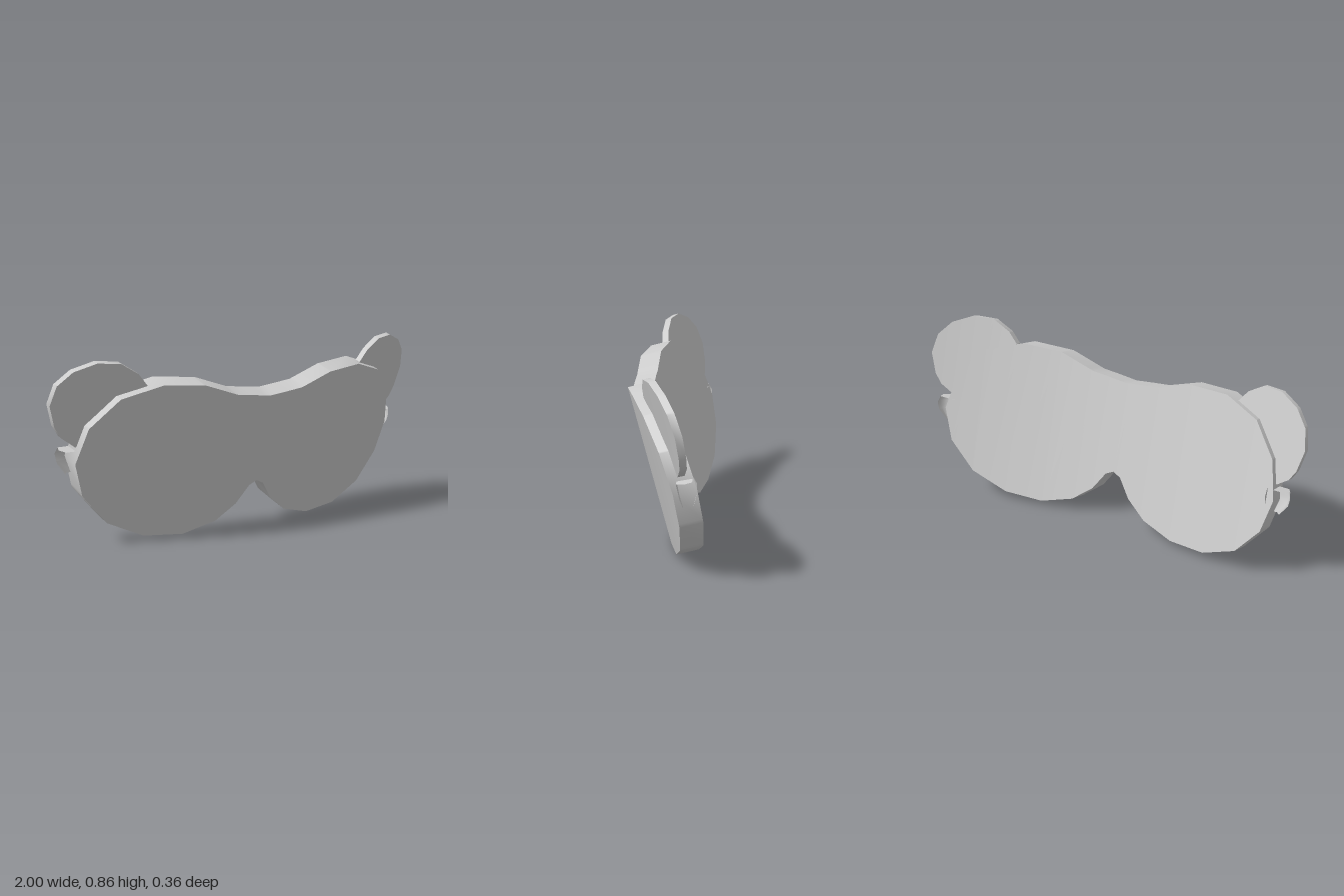
import * as THREE from 'three';
import { toCreasedNormals } from 'three/addons/utils/BufferGeometryUtils.js';

const LEAN = 0.267, BOW = 0.215;

// Height of a polyline [[x, y], ...] at x
function heightAt(line, x) {
  for (let i = 1; i < line.length; i++) {
    const [x0, y0] = line[i - 1], [x1, y1] = line[i];
    if (x <= x1) return y0 + (y1 - y0) * (x - x0) / (x1 - x0);
  }
  return line[line.length - 1][1];
}

// Triangle collector; side -1 mirrors across x = 0 and keeps faces outward
function builder(side) {
  const pos = [];
  const tri = (a, b, c) => {
    const area = new THREE.Vector3().subVectors(b, a).cross(new THREE.Vector3().subVectors(c, a));
    if (area.length() < 1e-9) return;
    for (const p of side > 0 ? [a, b, c] : [a, c, b]) pos.push(p.x * side, p.y, p.z);
  };
  const quad = (a, b, c, d) => { tri(a, b, c); tri(a, c, d); };
  const finish = (crease) => {
    const geo = new THREE.BufferGeometry();
    geo.setAttribute('position', new THREE.Float32BufferAttribute(pos, 3));
    return toCreasedNormals(geo, crease);
  };
  return { tri, quad, finish };
}

// Padded sheet between an upper and a lower outline, bowed round the face and leaning forward
function curvedPanel(upper, lower, setback, depth, side = 1) {
  const xs = [...new Set([...upper, ...lower].map((p) => p[0]))].sort((a, b) => a - b);
  const { quad, finish } = builder(side);
  const point = (x, y, back) => new THREE.Vector3(
    x, y + back * LEAN, 0.01 - setback + LEAN * y - BOW * x * x - back);
  const columns = xs.map((x) => {
    const t = heightAt(upper, x), b = heightAt(lower, x);
    return { ft: point(x, t, 0), fb: point(x, b, 0), bt: point(x, t, depth), bb: point(x, b, depth) };
  });
  for (let i = 1; i < columns.length; i++) {
    const l = columns[i - 1], r = columns[i];
    quad(l.fb, r.fb, r.ft, l.ft); // front
    quad(r.bb, l.bb, l.bt, r.bt); // back
    quad(l.ft, r.ft, r.bt, l.bt); // upper rim
    quad(l.bb, r.bb, r.fb, l.fb); // lower rim
  }
  return finish(0.85);
}

// Short strap stub lofted through rings of [y, outer x, front z, back z]
function strapStub(side) {
  const rings = [
    [0.332, 0.905, -0.098, -0.14],
    [0.385, 0.945, -0.085, -0.153],
    [0.42, 0.952, -0.078, -0.154],
    [0.453, 0.945, -0.07, -0.137],
  ].map(([y, x, f, b]) => {
    const inner = 0.85, m = (f + b) / 2;
    return [[inner, f], [x - 0.02, f], [x, m], [x - 0.012, b], [inner, b]]
      .map(([px, pz]) => new THREE.Vector3(px, y - (pz + 0.1) * 0.2, pz));
  });
  const { tri, quad, finish } = builder(side);
  const n = rings[0].length;
  for (let k = 1; k < rings.length; k++) {
    for (let i = 0; i < n; i++) {
      const j = (i + 1) % n;
      quad(rings[k - 1][j], rings[k - 1][i], rings[k][i], rings[k][j]);
    }
  }
  const top = rings[rings.length - 1], bottom = rings[0];
  for (let i = 1; i < n - 1; i++) {
    tri(top[0], top[i], top[i + 1]);
    tri(bottom[0], bottom[i + 1], bottom[i]);
  }
  return finish(1.2);
}

export function createModel() {
  const group = new THREE.Group();
  const fabric = new THREE.MeshStandardMaterial({ color: 0xcccccc });
  fabric.name = 'grey fabric';
  const add = (name, geometry) => {
    const mesh = new THREE.Mesh(geometry, fabric);
    mesh.name = name;
    group.add(mesh);
  };

  // Mask body: half outlines, mirrored to the full width
  const mirror = (half) => [
    ...half.slice(1).reverse().map(([x, y]) => [-x, y]), ...half];
  const brow = mirror([[0, 0.645], [0.18, 0.665], [0.35, 0.723], [0.55, 0.738],
    [0.73, 0.685], [0.85, 0.555], [0.89, 0.39]]);
  const cheek = mirror([[0, 0.225], [0.04, 0.205], [0.1, 0.12], [0.2, 0.045], [0.36, 0.001],
    [0.55, 0.015], [0.725, 0.095], [0.845, 0.235], [0.89, 0.39]]);
  add('maskBody', curvedPanel(brow, cheek, 0, 0.1));

  // Round ears tucked into the body, and the strap stubs below them
  const earTop = [[0.6, 0.735], [0.645, 0.79], [0.725, 0.84], [0.825, 0.848],
    [0.92, 0.812], [0.98, 0.75], [1, 0.66]];
  const earBottom = [[0.6, 0.735], [0.64, 0.6], [0.71, 0.51], [0.8, 0.465],
    [0.88, 0.465], [0.94, 0.51], [0.972, 0.56], [1, 0.66]];
  for (const [label, side] of [['left', 1], ['right', -1]]) {
    add(label + 'Ear', curvedPanel(earTop, earBottom, 0.042, 0.03, side));
    add(label + 'StrapStub', strapStub(side));
  }
  return group;
}
